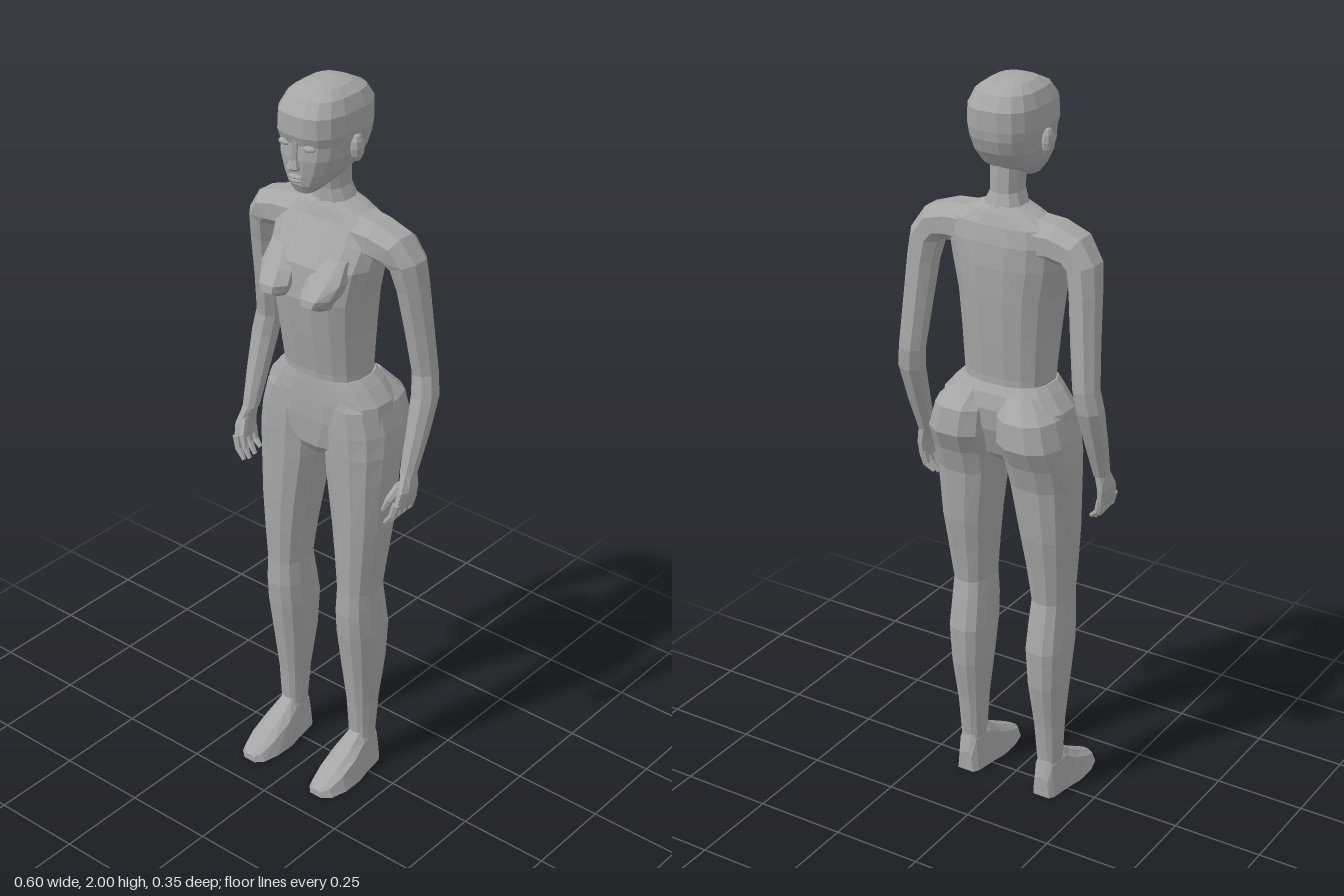
import * as THREE from 'three';

const skin = new THREE.MeshStandardMaterial({ color: 0xa6a6a6 });
skin.name = 'plain grey';

// Superellipse ring: centre c, half-axes u and v; e < 1 makes it squarer
function ring(c, u, v, n = 12, e = 0.8) {
  const pts = [];
  for (let i = 0; i < n; i++) {
    const a = ((i + 0.5) / n) * Math.PI * 2;
    const p = Math.sign(Math.cos(a)) * Math.abs(Math.cos(a)) ** e;
    const q = Math.sign(Math.sin(a)) * Math.abs(Math.sin(a)) ** e;
    pts.push(c.clone().addScaledVector(u, p).addScaledVector(v, q));
  }
  return pts;
}
const V = (x, y, z) => new THREE.Vector3(x, y, z);

// Skin a list of rings into a closed faceted solid, facing outwards
function loft(name, rings, side = 1) {
  const n = rings[0].length;
  const tris = [];
  const mid = (r) => r.reduce((s, p) => s.add(p), V(0, 0, 0)).divideScalar(n);
  const first = rings[0], last = rings[rings.length - 1];
  const m0 = mid(first), m1 = mid(last);
  for (let i = 0; i < n; i++) {
    const j = (i + 1) % n;
    tris.push([m0, first[j], first[i]], [m1, last[i], last[j]]);
    for (let k = 0; k + 1 < rings.length; k++) {
      const a = rings[k], b = rings[k + 1];
      tris.push([a[i], a[j], b[j]], [a[i], b[j], b[i]]);
    }
  }
  let volume = 0;
  for (const [a, b, c] of tris) {
    volume += a.clone().sub(m0).dot(b.clone().sub(m0).cross(c.clone().sub(m0)));
  }
  const flip = volume * side < 0;
  const pos = [];
  for (const [a, b, c] of tris) {
    for (const p of flip ? [a, c, b] : [a, b, c]) pos.push(p.x * side, p.y, p.z);
  }
  const g = new THREE.BufferGeometry();
  g.setAttribute('position', new THREE.Float32BufferAttribute(pos, 3));
  g.computeVertexNormals();
  const mesh = new THREE.Mesh(g, skin);
  mesh.name = name;
  return mesh;
}

// Upright solid from rows of [y, centre x, half width, front z, back z]
function upright(name, rows, side = 1, n = 12, e = 0.8) {
  return loft(name, rows.map(([y, cx, w, zf, zb]) =>
    ring(V(cx, y, (zf + zb) / 2), V(w, 0, 0), V(0, 0, (zf - zb) / 2), n, e)), side);
}

// Limb along a path of [x, y, z, thickness in x/y, thickness in z]
function limb(name, rows, side, n = 8) {
  return loft(name, rows.map(([x, y, z, rn, rz], i) => {
    const a = rows[Math.max(i - 1, 0)], b = rows[Math.min(i + 1, rows.length - 1)];
    const across = V(b[1] - a[1], a[0] - b[0], 0).normalize().multiplyScalar(rn);
    return ring(V(x, y, z), across, V(0, 0, rz), n, 0.9);
  }), side);
}

// Small faceted ellipsoid
function blob(name, x, y, z, rx, ry, rz) {
  const g = new THREE.SphereGeometry(1, 8, 6).scale(rx, ry, rz).translate(x, y, z).toNonIndexed();
  g.computeVertexNormals();
  const mesh = new THREE.Mesh(g, skin);
  mesh.name = name;
  return mesh;
}

export function createModel() {
  const model = new THREE.Group();
  model.name = 'figure';

  // Head and neck
  model.add(upright('head', [
    [1.737, 0, 0.026, 0.088, 0.03],
    [1.76, 0, 0.048, 0.1, -0.04],
    [1.79, 0, 0.068, 0.103, -0.088],
    [1.83, 0, 0.084, 0.106, -0.118],
    [1.865, 0, 0.09, 0.103, -0.132],
    [1.89, 0, 0.094, 0.112, -0.136],
    [1.94, 0, 0.092, 0.11, -0.137],
    [1.975, 0, 0.077, 0.083, -0.115],
    [1.993, 0, 0.052, 0.045, -0.075],
    [2.0, 0, 0.025, 0.01, -0.04],
  ], 1, 16, 0.72));
  model.add(upright('neck', [
    [1.66, 0, 0.09, 0.02, -0.11],
    [1.685, 0, 0.055, 0.008, -0.098],
    [1.72, 0, 0.04, 0.008, -0.087],
    [1.8, 0, 0.042, 0.02, -0.085],
  ], 1, 10));

  // Face
  model.add(upright('nose', [
    [1.8, 0, 0.012, 0.112, 0.08],
    [1.81, 0, 0.018, 0.128, 0.08],
    [1.83, 0, 0.01, 0.119, 0.08],
    [1.88, 0, 0.007, 0.11, 0.08],
  ], 1, 6));
  model.add(blob('upperLip', 0, 1.784, 0.102, 0.022, 0.006, 0.012));
  model.add(blob('lowerLip', 0, 1.774, 0.1, 0.018, 0.006, 0.012));

  // Torso
  model.add(upright('torso', [
    [1.19, 0, 0.118, 0.06, -0.115],
    [1.24, 0, 0.12, 0.063, -0.113],
    [1.35, 0, 0.126, 0.083, -0.122],
    [1.45, 0, 0.135, 0.098, -0.128],
    [1.54, 0, 0.153, 0.088, -0.13],
    [1.6, 0, 0.16, 0.05, -0.127],
    [1.645, 0, 0.15, 0.022, -0.118],
    [1.675, 0, 0.09, 0.012, -0.105],
    [1.69, 0, 0.05, 0.005, -0.095],
  ], 1, 16, 0.8));
  model.add(upright('pelvis', [
    [0.985, 0, 0.035, 0.035, -0.06],
    [1.02, 0, 0.1, 0.06, -0.1],
    [1.1, 0, 0.185, 0.066, -0.13],
    [1.16, 0, 0.178, 0.066, -0.138],
    [1.2, 0, 0.145, 0.064, -0.128],
    [1.222, 0, 0.123, 0.062, -0.115],
  ], 1, 16, 0.75));

  for (const side of [1, -1]) {
    const half = new THREE.Group();
    half.name = side > 0 ? 'leftSide' : 'rightSide';
    model.add(half);

    half.add(blob('eye', side * 0.037, 1.863, 0.096, 0.02, 0.009, 0.012));
    half.add(blob('ear', side * 0.098, 1.848, -0.012, 0.014, 0.036, 0.022));

    half.add(upright('breast', [
      [1.57, 0.085, 0.035, 0.066, 0.02],
      [1.52, 0.075, 0.052, 0.112, 0.02],
      [1.485, 0.067, 0.048, 0.143, 0.02],
      [1.465, 0.064, 0.036, 0.146, 0.02],
      [1.445, 0.066, 0.026, 0.108, 0.02],
    ], side, 8));

    // Arm, from inside the shoulder to the wrist
    half.add(limb('arm', [
      [0.08, 1.612, -0.045, 0.062, 0.066],
      [0.15, 1.613, -0.042, 0.054, 0.064],
      [0.2, 1.6, -0.045, 0.05, 0.06],
      [0.227, 1.565, -0.052, 0.044, 0.054],
      [0.237, 1.5, -0.062, 0.04, 0.048],
      [0.247, 1.38, -0.077, 0.037, 0.041],
      [0.258, 1.26, -0.09, 0.034, 0.036],
      [0.266, 1.2, -0.082, 0.035, 0.038],
      [0.267, 1.1, -0.052, 0.029, 0.033],
      [0.266, 1.0, -0.02, 0.021, 0.026],
    ], side));

    // Hand with four fingers and a thumb
    half.add(limb('palm', [
      [0.266, 1.01, -0.022, 0.018, 0.024],
      [0.274, 0.96, -0.008, 0.016, 0.038],
      [0.27, 0.915, 0.0, 0.013, 0.042],
    ], side));
    for (let f = 0; f < 4; f++) {
      const z = 0.034 - f * 0.022;
      const drop = [0.006, 0, 0.004, 0.016][f];
      half.add(limb('finger', [
        [0.271, 0.93, z, 0.011, 0.011],
        [0.262, 0.895, z + 0.003, 0.01, 0.01],
        [0.24, 0.862 + drop, z + 0.006, 0.006, 0.006],
      ], side, 6));
    }
    half.add(limb('thumb', [
      [0.264, 0.975, 0.01, 0.013, 0.014],
      [0.25, 0.94, 0.034, 0.011, 0.012],
      [0.235, 0.905, 0.042, 0.006, 0.007],
    ], side, 6));

    // Leg, including the buttock
    half.add(upright('leg', [
      [1.205, 0.068, 0.052, 0.05, -0.125],
      [1.15, 0.092, 0.084, 0.062, -0.17],
      [1.08, 0.102, 0.093, 0.065, -0.177],
      [1.02, 0.108, 0.091, 0.065, -0.146],
      [0.95, 0.11, 0.087, 0.063, -0.124],
      [0.8, 0.119, 0.071, 0.062, -0.108],
      [0.7, 0.121, 0.06, 0.06, -0.09],
      [0.6, 0.121, 0.05, 0.057, -0.075],
      [0.53, 0.12, 0.053, 0.061, -0.088],
      [0.46, 0.12, 0.055, 0.056, -0.1],
      [0.35, 0.12, 0.048, 0.04, -0.094],
      [0.22, 0.121, 0.037, 0.021, -0.071],
      [0.1, 0.122, 0.032, 0.012, -0.058],
    ], side, 12));

    // Foot, heel to toe: [z, centre x, half width, height]
    half.add(loft('foot', [
      [-0.07, 0.122, 0.026, 0.06],
      [-0.055, 0.122, 0.036, 0.125],
      [0.008, 0.122, 0.046, 0.13],
      [0.05, 0.122, 0.056, 0.095],
      [0.11, 0.123, 0.055, 0.058],
      [0.155, 0.122, 0.043, 0.032],
      [0.175, 0.12, 0.02, 0.02],
    ].map(([z, x, w, h]) => ring(V(x, h / 2, z), V(w, 0, 0), V(0, h / 2, 0), 8, 0.7)
      .map((p) => {
        // Narrow the upper half of the foot and rest the sole on the ground
        const t = p.y / h;
        return V(x + (p.x - x) * (1.1 - 0.45 * t), t < 0.3 ? 0 : p.y, z);
      })), side));
  }
  return model;
}
